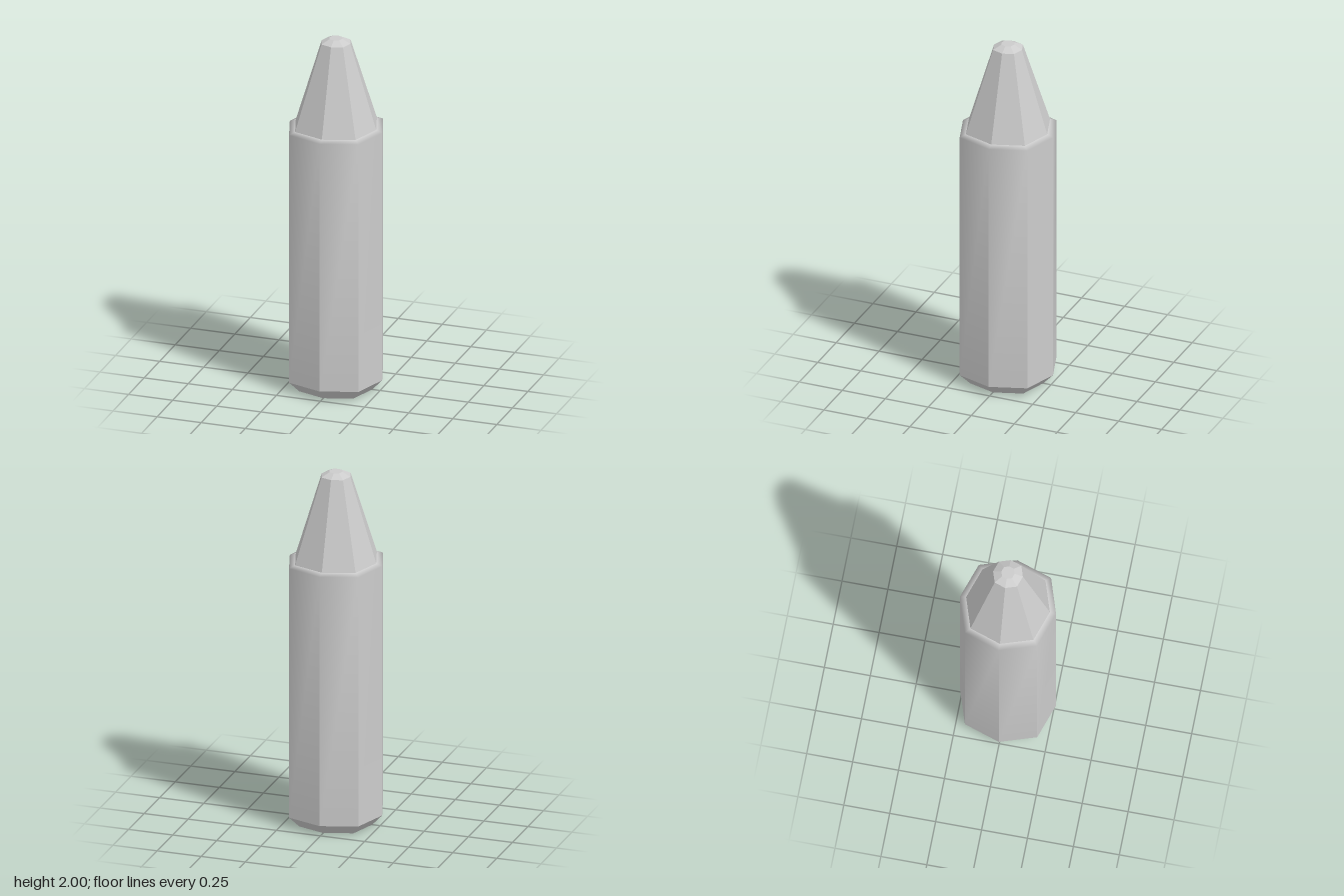
import * as THREE from 'three';

const SIDES = 8;
const DIAGONAL = 1.063; // diagonal corners stand slightly further out

// Octagonal ring: r is the corner distance along the x and z axes
function ring(r, y) {
  return Array.from({ length: SIDES }, (_, i) => {
    const a = (i * Math.PI) / 4;
    const d = i % 2 ? r * DIAGONAL : r;
    return new THREE.Vector3(d * Math.sin(a), y, d * Math.cos(a));
  });
}

// Outward corner normals with a given upward tilt
function cornerNormals(up) {
  return ring(1, up).map((v) => v.normalize());
}

// Faces between rings from bottom to top; a corner normal list replaces the flat normals of its ring
function band(name, lower, upper, lowerNormals, upperNormals) {
  const position = [], normal = [];
  for (let i = 0; i < SIDES; i++) {
    const j = (i + 1) % SIDES;
    const [a, b, c, d] = [lower[i], lower[j], upper[j], upper[i]];
    const flat = b.clone().sub(a).cross(d.clone().sub(a)).normalize();
    const nl = (k) => (lowerNormals ? lowerNormals[k] : flat);
    const nu = (k) => (upperNormals ? upperNormals[k] : flat);
    position.push(a, b, c, a, c, d);
    normal.push(nl(i), nl(j), nu(j), nl(i), nu(j), nu(i));
  }
  return toMesh(name, position, normal);
}

// Flat octagonal cap facing up or down
function cap(name, corners, facing) {
  const position = [], normal = [];
  const centre = new THREE.Vector3(0, corners[0].y, 0);
  const n = new THREE.Vector3(0, facing, 0);
  for (let i = 0; i < SIDES; i++) {
    const j = (i + 1) % SIDES;
    position.push(centre, ...(facing > 0 ? [corners[i], corners[j]] : [corners[j], corners[i]]));
    normal.push(n, n, n);
  }
  return toMesh(name, position, normal);
}

function toMesh(name, position, normal) {
  const geometry = new THREE.BufferGeometry();
  const attribute = (list) => new THREE.Float32BufferAttribute(list.flatMap((v) => v.toArray()), 3);
  geometry.setAttribute('position', attribute(position));
  geometry.setAttribute('normal', attribute(normal));
  const mesh = new THREE.Mesh(geometry, new THREE.MeshStandardMaterial({ color: 0xcccccc }));
  mesh.name = name;
  return mesh;
}

export function createModel() {
  const group = new THREE.Group();
  group.name = 'crayon';

  const base = ring(0.205, 0);
  const bodyBottom = ring(0.262, 0.06);
  const bodyTop = ring(0.262, 1.487);
  const coneBottom = ring(0.228, 1.5);
  const coneTop = ring(0.081, 1.977);
  const tip = ring(0.036, 2);
  const rim = cornerNormals(0.05);

  group.add(
    // Body: faceted at the foot, blending to smooth at the rim
    cap('baseCap', base, -1),
    band('baseBevel', base, bodyBottom),
    band('body', bodyBottom, bodyTop, null, rim),
    band('shoulder', bodyTop, coneBottom, rim, cornerNormals(2.6)),
    // Faceted point with a blunt end
    band('cone', coneBottom, coneTop),
    band('tipBevel', coneTop, tip),
    cap('tipCap', tip, 1),
  );
  return group;
}
